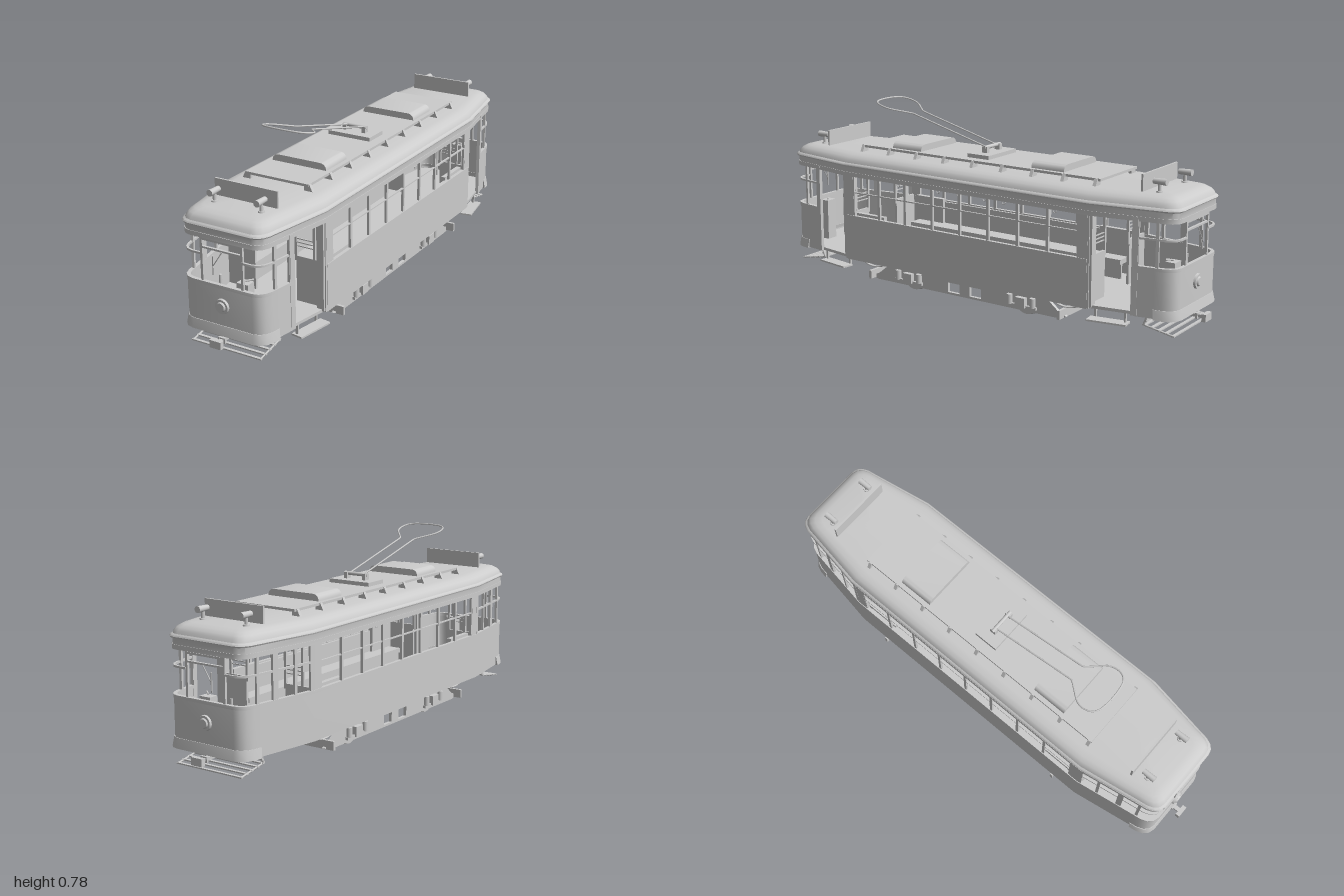
import * as THREE from 'three';
import { toCreasedNormals } from 'three/addons/utils/BufferGeometryUtils.js';

export function createModel() {
  const root = new THREE.Group();
  root.name = 'tram';
  // The body sits slightly right of centre because the steps project on the left
  const car = new THREE.Group();
  car.name = 'car';
  car.position.x = -0.005;
  root.add(car);
  const grey = new THREE.MeshStandardMaterial({ color: 0xcccccc });
  grey.name = 'light grey';

  const add = (name, geo) => {
    const m = new THREE.Mesh(geo, grey);
    m.name = name;
    car.add(m);
    return m;
  };
  const box = (name, x, y, z, w, h, d, ry = 0) => {
    const m = add(name, new THREE.BoxGeometry(w, h, d));
    m.position.set(x, y, z);
    m.rotation.y = ry;
    return m;
  };
  // Round bar between two points
  const rod = (name, a, b, r, r2 = r, sides = 16) => {
    const p = new THREE.Vector3(...a), q = new THREE.Vector3(...b);
    const m = add(name, new THREE.CylinderGeometry(r2, r, p.distanceTo(q), sides));
    m.position.copy(p).add(q).multiplyScalar(0.5);
    m.quaternion.setFromUnitVectors(new THREE.Vector3(0, 1, 0), q.sub(p).normalize());
    return m;
  };

  // Plan of the body: one quarter, then the whole loop
  const W = 0.226, L = 0.94;
  const corner = [[0.13, L], [0.152, 0.934], [0.168, 0.918], [0.178, 0.893], [0.183, 0.86]];
  const quarter = [...corner, [W, 0.6]];
  const flip = (pts, sx, sz) => pts.map(([x, z]) => [x * sx, z * sz]);
  const back = (pts) => [...pts].reverse();
  const outline = [...quarter, ...back(flip(quarter, 1, -1)), ...flip(quarter, -1, -1), ...back(flip(quarter, -1, 1))];

  // Sweeps a profile of [offset, y] round the plan
  const loft = (name, profile) => {
    const pos = [], idx = [], n = outline.length;
    for (const [d, y] of profile)
      for (const [x, z] of outline) pos.push(x * (1 + d / W), y, z * (1 + d / L));
    for (let j = 0; j < profile.length - 1; j++)
      for (let i = 0; i < n; i++) {
        const a = j * n + i, b = j * n + (i + 1) % n;
        idx.push(a, b, b + n, a, b + n, a + n);
      }
    const g = new THREE.BufferGeometry();
    g.setAttribute('position', new THREE.Float32BufferAttribute(pos, 3));
    g.setIndex(idx);
    return add(name, toCreasedNormals(g, 0.6));
  };

  // Upright wall of thickness t along a plan path; flare widens its foot
  const wall = (name, pts, y0, y1, t, flare = 0) => {
    const side = (k) => pts.map(([x, z], i) => {
      const p = pts[Math.max(i - 1, 0)], q = pts[Math.min(i + 1, pts.length - 1)];
      const dx = q[0] - p[0], dz = q[1] - p[1], l = Math.hypot(dx, dz);
      return new THREE.Vector2(x - k * dz / l, -(z + k * dx / l));
    });
    const g = new THREE.ExtrudeGeometry(new THREE.Shape([...side(t / 2), ...side(-t / 2).reverse()]),
      { depth: y1 - y0, bevelEnabled: false });
    g.rotateX(-Math.PI / 2).translate(0, y0, 0);
    const p = g.attributes.position;
    for (let i = 0; i < p.count; i++)
      if (p.getY(i) < (y0 + y1) / 2) p.setXYZ(i, p.getX(i) * (1 + flare * 4), p.getY(i), p.getZ(i) * (1 + flare));
    return add(name, toCreasedNormals(g, 0.6));
  };

  // Roof shell with ceiling, letterboard and floor
  loft('roof', [[-W, 0.556], [-0.06, 0.552], [-0.025, 0.54], [-0.012, 0.52], [-0.012, 0.486], [0.004, 0.486],
    [0.004, 0.512], [0.009, 0.512], [0.012, 0.5175], [0.009, 0.523],
    [0.002, 0.527], [-0.002, 0.538], [-0.011, 0.549], [-0.028, 0.559], [-0.054, 0.565], [-W, 0.568]]);
  loft('windowHeader', [[0.006, 0.47], [0.006, 0.488], [-0.012, 0.488], [-0.012, 0.47], [0.006, 0.47]]);
  loft('floor', [[-W, 0.106], [-0.004, 0.106], [-0.004, 0.118], [-W, 0.118]]);

  // Body walls: one run leaves the doorways open on the left, one fills between them
  const jamb = [0.195, 0.785];
  const nose = [jamb, ...back(corner)];
  const run = [...nose, ...flip(quarter, -1, 1), ...back(flip(quarter, -1, -1)), ...flip(back(nose), 1, -1)];
  const leftSide = [[W, 0.6], [W, -0.6]];
  for (const path of [run, leftSide]) {
    wall('lowerPanel', path, 0.103, 0.288, 0.01);
    wall('windowSill', path, 0.287, 0.3, 0.015);
  }

  // Saloon windows
  for (const sx of [1, -1]) {
    for (let k = -4; k <= 4; k++) box('windowPost', sx * (W - 0.001), 0.386, k * 0.14, 0.01, 0.176, 0.012);
    box('windowTransom', sx * (W - 0.001), 0.401, 0, 0.008, 0.005, 1.12);
    for (const s of [1, -1]) {
      box('cornerPillar', sx * (W - 0.001), 0.386, s * 0.58, 0.011, 0.18, 0.04);
      box('benchEnd', sx * 0.205, 0.25, s * 0.48, 0.02, 0.12, 0.15);
    }
    // Benches, grab rail and straps
    box('bench', sx * 0.175, 0.19, 0, 0.085, 0.02, 1.08);
    box('benchFront', sx * 0.145, 0.15, 0, 0.01, 0.07, 1.08);
    box('benchBack', sx * 0.213, 0.245, 0, 0.01, 0.1, 1.08);
    rod('grabRail', [sx * 0.145, 0.477, -0.58], [sx * 0.145, 0.477, 0.58], 0.003, 0.003, 8);
    for (const z of [0.38, 0.17, 0.065, -0.065, -0.16, -0.4]) {
      rod('strap', [sx * 0.145, 0.475, z], [sx * 0.145, 0.45, z], 0.002, 0.002, 6);
      const ring = add('strapRing', new THREE.TorusGeometry(0.008, 0.002, 6, 12));
      ring.position.set(sx * 0.145, 0.442, z);
      ring.rotation.y = Math.PI / 2;
    }
  }

  for (const s of [1, -1]) {
    // Cab windows
    const tilt = s * -0.165;
    for (const sx of [1, -1]) {
      wall('cabTransom', flip([...nose, [0.09, L]], sx, s), 0.402, 0.41, 0.008);
      box('frontPost', sx * 0.088, 0.385, s * 0.937, 0.01, 0.175, 0.01);
      box('cabCornerPost', sx * 0.18, 0.385, s * 0.87, 0.01, 0.175, 0.012, sx * tilt);
      box('cabRearPost', sx * 0.194, 0.385, s * 0.788, 0.011, 0.175, 0.024, sx * tilt);
      // Bulkhead between cab and saloon
      box('bulkheadPanel', sx * 0.16, 0.21, s * 0.595, 0.13, 0.19, 0.01);
      for (const x of [0.093, 0.174]) box('bulkheadPost', sx * x, 0.385, s * 0.595, 0.01, 0.2, 0.01);
      for (const y of [0.345, 0.36, 0.375]) box('bulkheadBar', sx * 0.134, y, s * 0.595, 0.08, 0.004, 0.004);
    }
    box('bulkheadLintel', 0, 0.505, s * 0.595, 0.43, 0.08, 0.01);
    box('frontTransom', 0, 0.432, s * 0.937, 0.176, 0.007, 0.01);
    box('frontTopFrame', 0, 0.464, s * 0.937, 0.176, 0.008, 0.01);
    rod('wiperArm', [0.006, 0.43, s * 0.945], [-0.034, 0.37, s * 0.946], 0.002, 0.002, 6);
    box('wiperBlade', -0.034, 0.372, s * 0.946, 0.004, 0.075, 0.004);

    // Closed right side of the vestibule
    wall('vestibuleTransom', flip([[W, 0.6], jamb], -1, s), 0.402, 0.41, 0.008);
    box('vestibulePost', -0.211, 0.385, s * 0.69, 0.01, 0.175, 0.012, -tilt);
    box('vestibulePillar', -0.2245, 0.385, s * 0.608, 0.01, 0.175, 0.02, -tilt);

    // Open doorway with folded leaf and step
    box('doorJamb', 0.195, 0.295, s * 0.786, 0.014, 0.38, 0.024, tilt);
    box('doorPillar', 0.224, 0.295, s * 0.6, 0.012, 0.38, 0.016);
    box('foldedDoorLeaf', 0.211, 0.295, s * 0.612, 0.03, 0.37, 0.012);
    box('doorStep', 0.211, 0.066, s * 0.685, 0.05, 0.007, 0.16, tilt);
    for (const z of [0.62, 0.75]) box('stepBracket', 0.192, 0.086, s * z, 0.01, 0.042, 0.008);

    // Driver's controls
    box('controller', 0.05, 0.205, s * 0.87, 0.05, 0.18, 0.04);
    rod('controllerHandle', [0.05, 0.3, s * 0.87], [0.075, 0.303, s * 0.85], 0.004, 0.004, 8);
    rod('brakeColumn', [-0.06, 0.11, s * 0.87], [-0.06, 0.3, s * 0.87], 0.006, 0.006, 10);

    // Flared skirt and headlamp
    const front = flip([...back(flip(corner, -1, 1)), ...corner], 1, s);
    wall('flaredSkirt', front, 0.1, 0.139, 0.015, 0.007);
    rod('headlamp', [0, 0.218, s * 0.935], [0, 0.218, s * 0.954], 0.032, 0.028, 32);
    rod('headlampLens', [0, 0.218, s * 0.95], [0, 0.218, s * 0.96], 0.022, 0.016, 32);

    // Coupler
    box('couplerBar', 0, 0.085, s * 0.93, 0.018, 0.012, 0.12);
    box('couplerHead', 0, 0.085, s * 0.991, 0.05, 0.03, 0.018);
    box('couplerCollar', 0, 0.085, s * 0.955, 0.03, 0.022, 0.01);

    // Slatted lifeguard tray
    for (let i = 0; i < 5; i++) {
      const f = i / 4;
      box('traySlat', 0, 0.037 + 0.022 * f, s * (0.93 - 0.12 * f), 0.31, 0.005, 0.012);
    }
    for (const x of [-0.15, 0.15]) {
      rod('trayRail', [x, 0.036, s * 0.935], [x, 0.06, s * 0.8], 0.004, 0.004, 8);
      rod('trayHanger', [x, 0.06, s * 0.805], [x, 0.108, s * 0.825], 0.005, 0.005, 8);
    }
    box('trayCrossbar', 0, 0.076, s * 0.815, 0.31, 0.008, 0.008);

    // Roof board and twin roof lamps
    box('roofBoard', 0, 0.6, s * 0.775, 0.275, 0.066, 0.008);
    for (const x of [-0.102, 0.102]) {
      rod('roofLampPost', [x, 0.555, s * 0.83], [x, 0.605, s * 0.83], 0.007, 0.007, 12);
      rod('roofLamp', [x, 0.606, s * 0.805], [x, 0.606, s * 0.86], 0.011, 0.013, 20);
      rod('roofLampFoot', [x, 0.555, s * 0.83], [x, 0.571, s * 0.83], 0.015, 0.012, 16);
    }

    // Roof hatch with rounded edges
    const lid = new THREE.Shape().moveTo(-0.122, 0.59).lineTo(0.122, 0.59)
      .quadraticCurveTo(0.122, 0.618, 0.095, 0.62).lineTo(-0.095, 0.62).quadraticCurveTo(-0.122, 0.618, -0.122, 0.59);
    const lidGeo = new THREE.ExtrudeGeometry(lid, { depth: 0.15, bevelEnabled: false, curveSegments: 6 });
    add('roofHatch', toCreasedNormals(lidGeo, 0.6)).position.z = s * 0.35 - 0.075;
  }

  // Roof walkway on wedge brackets
  box('roofWalkway', 0, 0.588, -0.01, 0.282, 0.01, 1.18);
  const v2 = (pts) => pts.map((p) => new THREE.Vector2(...p));
  const wedge = new THREE.Shape(v2([[0.12, 0.592], [0.143, 0.592], [0.16, 0.558], [0.12, 0.558]]));
  const wedgeGeo = new THREE.ExtrudeGeometry(wedge, { depth: 0.014, bevelEnabled: false }).translate(0, 0, -0.007);
  for (let k = -4; k <= 4; k++)
    for (const ry of [0, Math.PI]) {
      const m = add('walkwayBracket', wedgeGeo);
      m.position.z = k * 0.144 - 0.005;
      m.rotation.y = ry;
    }

  // Current collector: straight legs opening into a rounded bow
  box('collectorBase', 0, 0.601, 0, 0.195, 0.016, 0.105);
  rod('collectorPivot', [-0.055, 0.63, 0], [0.055, 0.63, 0], 0.008);
  for (const x of [-0.045, 0.045]) box('collectorBracket', x, 0.62, 0, 0.016, 0.03, 0.026);
  const arm = [[0.035, 0], [0.035, 0.2], [0.035, 0.378], [0.0355, 0.383], [0.039, 0.39], [0.065, 0.422], [0.09, 0.453],
    [0.1, 0.475], [0.102, 0.5], [0.094, 0.527], [0.075, 0.544], [0.045, 0.552]];
  const bow = [...arm, [0, 0.555], ...back(flip(arm, -1, 1))].map(([x, z]) => new THREE.Vector3(x, 0.63 + z * 0.266, z));
  add('collectorBow', new THREE.TubeGeometry(new THREE.CatmullRomCurve3(bow, false, 'centripetal'), 160, 0.0035, 8));

  // Truck side frames with cut-outs
  const frame = new THREE.Shape(v2([[-0.46, 0.028], [0.46, 0.028], [0.49, 0.04], [0.45, 0.058], [0.4, 0.098], [-0.4, 0.098], [-0.45, 0.058], [-0.49, 0.04]]));
  for (const z of [-0.055, 0.055])
    frame.holes.push(new THREE.Path(v2([[z - 0.029, 0.037], [z - 0.029, 0.078], [z + 0.029, 0.078], [z + 0.029, 0.037]])));
  const frameGeo = new THREE.ExtrudeGeometry(frame, { depth: 0.014, bevelEnabled: false }).translate(0, 0, -0.007).rotateY(-Math.PI / 2);
  const springGeo = new THREE.TorusGeometry(0.06, 0.007, 8, 20, Math.PI).rotateX(Math.PI).scale(1, 0.45, 1).rotateY(Math.PI / 2);
  for (const sx of [1, -1]) {
    add('truckFrame', frameGeo).position.x = sx * 0.188;
    for (const s of [1, -1]) {
      box('axleBox', sx * 0.204, 0.065, s * 0.285, 0.024, 0.04, 0.045);
      box('axleBoxTie', sx * 0.2, 0.047, s * 0.285, 0.014, 0.012, 0.14);
      for (const d of [-0.055, 0.055])
        rod('spring', [sx * 0.204, 0.05, s * 0.285 + d], [sx * 0.204, 0.09, s * 0.285 + d], 0.012);
      rod('wheel', [sx * 0.142, 0.066, s * 0.285], [sx * 0.165, 0.066, s * 0.285], 0.066, 0.061, 40);
      add('leafSpring', springGeo).position.set(sx * 0.188, 0.106, s * 0.485);
    }
  }
  for (const s of [1, -1]) {
    rod('axle', [-0.188, 0.066, s * 0.285], [0.188, 0.066, s * 0.285], 0.012);
    box('guardPlank', 0, 0.053, s * 0.475, 0.46, 0.036, 0.012);
  }
  return root;
}
